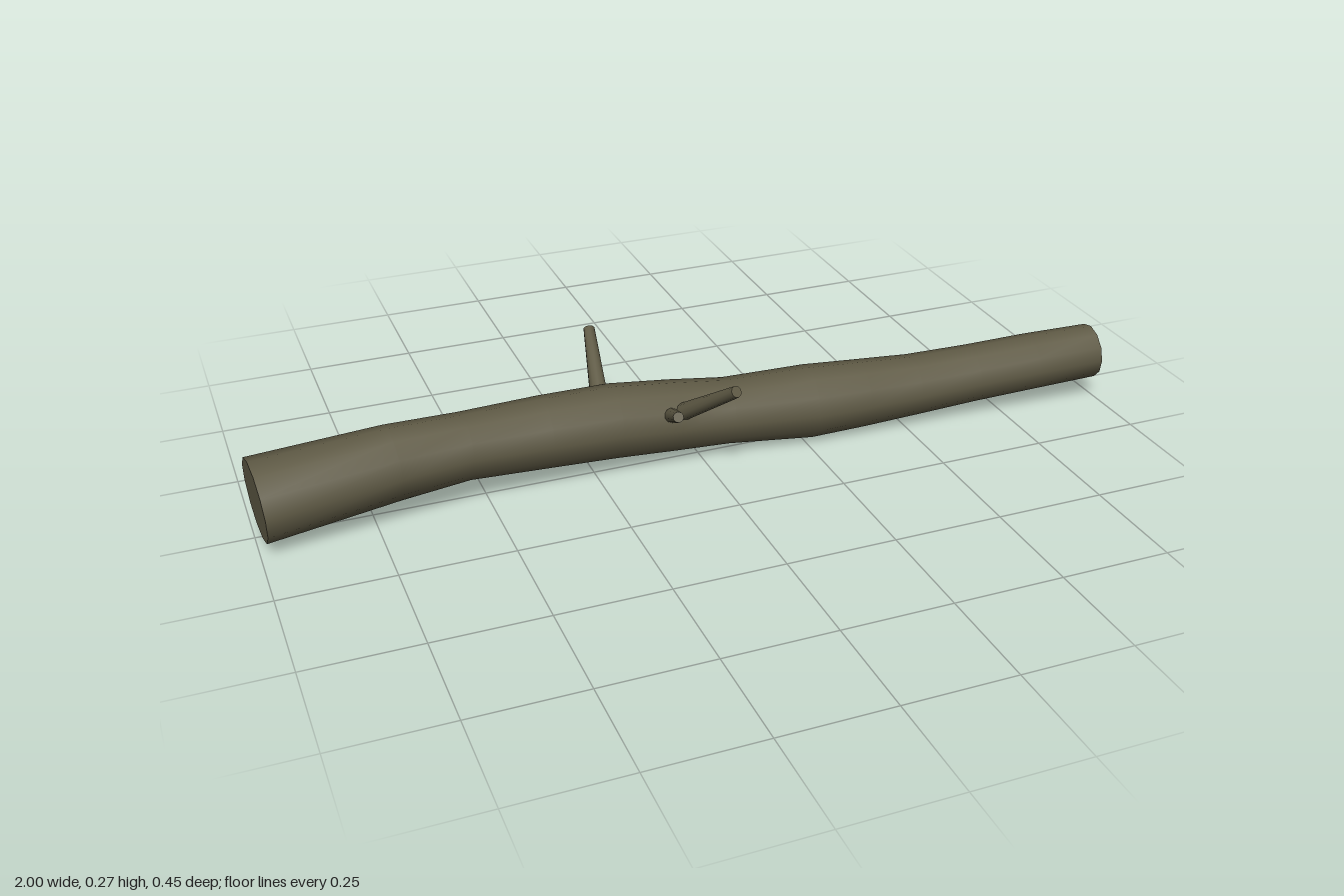
import * as THREE from 'three';

const bark = new THREE.MeshStandardMaterial({ color: 0x5f5a45 });
bark.name = 'bark';

// Smooth limb through rings of [x, y, z, radius], with sharp flat ends
function limb(name, rings, sides) {
  const group = new THREE.Group();
  group.name = name;
  const centres = rings.map(([x, y, z]) => new THREE.Vector3(x, y, z));
  const loops = rings.map((ring, i) => {
    const along = centres[Math.min(i + 1, rings.length - 1)].clone()
      .sub(centres[Math.max(i - 1, 0)]).normalize();
    const side = along.clone().cross(new THREE.Vector3(0, 1, 0)).normalize();
    const up = side.clone().cross(along);
    return Array.from({ length: sides }, (_, j) => {
      const a = (j / sides) * Math.PI * 2;
      return centres[i].clone()
        .addScaledVector(up, Math.cos(a) * ring[3])
        .addScaledVector(side, Math.sin(a) * ring[3]);
    });
  });

  const add = (part, points, index) => {
    const geometry = new THREE.BufferGeometry().setFromPoints(points);
    geometry.setIndex(index);
    geometry.computeVertexNormals();
    const mesh = new THREE.Mesh(geometry, bark);
    mesh.name = part;
    group.add(mesh);
  };

  // Bark wall
  const index = [];
  for (let i = 0; i < rings.length - 1; i++) {
    for (let j = 0; j < sides; j++) {
      const a = i * sides + j;
      const b = i * sides + ((j + 1) % sides);
      index.push(a, b, a + sides, b, b + sides, a + sides);
    }
  }
  add(name + 'Wall', loops.flat(), index);

  // Cut ends
  const start = [], end = [];
  for (let j = 1; j < sides - 1; j++) {
    start.push(0, j + 1, j);
    end.push(0, j, j + 1);
  }
  add(name + 'StartCut', loops[0], start);
  add(name + 'EndCut', loops[loops.length - 1], end);
  return group;
}

export function createModel() {
  const model = new THREE.Group();
  model.name = 'log';

  // Gently bent trunk
  model.add(limb('trunk', [
    [-0.992, 0.108, 0.030, 0.093],
    [-0.70, 0.125, 0.007, 0.083],
    [-0.54, 0.127, -0.004, 0.075],
    [-0.36, 0.122, -0.011, 0.081],
    [-0.20, 0.117, -0.013, 0.084],
    [-0.06, 0.105, -0.011, 0.081],
    [0.07, 0.095, -0.005, 0.076],
    [0.27, 0.087, 0.007, 0.085],
    [0.40, 0.088, 0.017, 0.079],
    [0.53, 0.091, 0.028, 0.072],
    [0.68, 0.100, 0.041, 0.068],
    [0.83, 0.110, 0.055, 0.067],
    [0.99, 0.117, 0.068, 0.064],
  ], 12));

  // Broken twigs
  model.add(limb('backTwig', [[-0.217, 0.150, -0.045, 0.021], [-0.182, 0.25, -0.219, 0.013]], 10));
  model.add(limb('frontTwig', [[-0.062, 0.125, 0.025, 0.021], [0.003, 0.262, 0.217, 0.013]], 10));
  model.add(limb('shortTwig', [[-0.080, 0.130, 0.030, 0.018], [-0.100, 0.183, 0.141, 0.012]], 10));
  return model;
}
